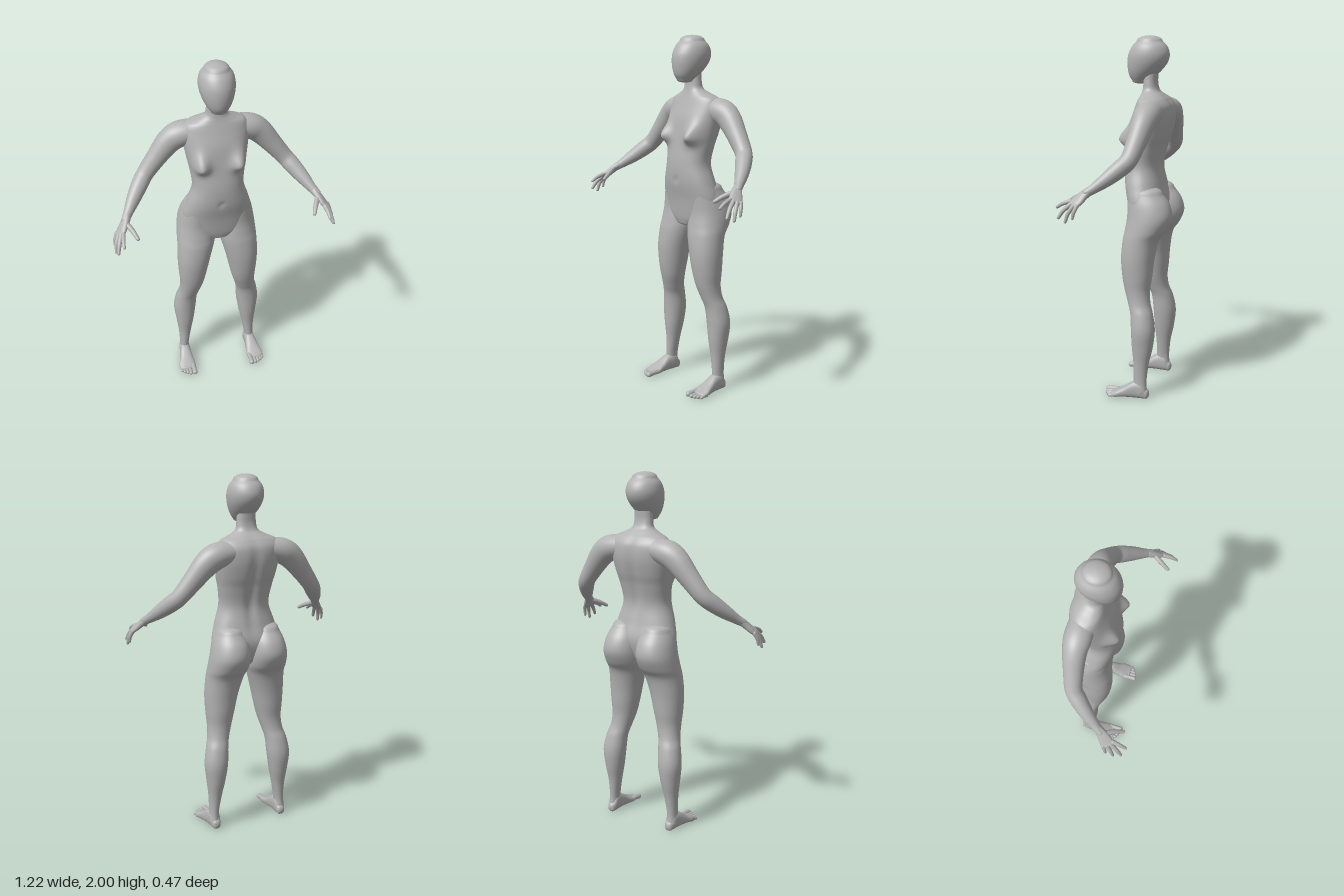
import * as THREE from 'three';

const V = (x, y, z) => new THREE.Vector3(x, y, z);
const X = V(1, 0, 0), UP = V(0, 1, 0), FRONT = V(0, 0, 1), BACK = V(0, 0, -1);

// Smooth skin through oval sections [x, y, z, sideRadius, depthRadius], rounded at both ends.
function sweep(sections, { ref = FRONT, axis = null, sides = 32, steps = 6, square = 2, caps = [0.01, 0.01], shape = null } = {}) {
  const path = new THREE.CatmullRomCurve3(sections.map(s => V(s[0], s[1], s[2])), false, 'catmullrom');
  const radii = new THREE.CatmullRomCurve3(sections.map(s => V(s[3], s[4], 0)), false, 'catmullrom');
  const positions = [], index = [], capSteps = 6, count = (sections.length - 1) * steps;
  let rings = 0;
  const addRing = (t, shift, shrink) => {
    const tangent = axis || path.getTangent(t);
    const c = path.getPoint(t).addScaledVector(tangent, shift);
    const r = radii.getPoint(t).multiplyScalar(shrink);
    const side = ref.clone().cross(tangent).normalize();
    const depth = tangent.clone().cross(side);
    const bend = v => Math.sign(v) * Math.abs(v) ** (2 / square);
    for (let j = 0; j < sides; j++) {
      const a = (j / sides) * Math.PI * 2;
      const p = c.clone().addScaledVector(side, r.x * bend(Math.cos(a))).addScaledVector(depth, r.y * bend(Math.sin(a)));
      if (shape) shape(p);
      positions.push(p.x, p.y, p.z);
    }
    rings++;
  };
  const addCap = (t, length, k) => {
    const a = (k / capSteps) * Math.PI / 2;
    addRing(t, length * Math.sin(a), Math.max(Math.cos(a), 0.01));
  };
  for (let k = capSteps; k > 0; k--) addCap(0, -caps[0], k);
  for (let i = 0; i <= count; i++) addRing(i / count, 0, 1);
  for (let k = 1; k <= capSteps; k++) addCap(1, caps[1], k);
  for (let i = 0; i < rings - 1; i++) {
    for (let j = 0; j < sides; j++) {
      const a = i * sides + j, b = i * sides + (j + 1) % sides;
      index.push(a, b, b + sides, a, b + sides, a + sides);
    }
  }
  const last = (rings - 1) * sides;
  for (let j = 1; j < sides - 1; j++) index.push(0, j + 1, j, last, last + j, last + j + 1);
  const geometry = new THREE.BufferGeometry();
  geometry.setAttribute('position', new THREE.Float32BufferAttribute(positions, 3));
  geometry.setIndex(index);
  geometry.computeVertexNormals();
  return geometry;
}

// Mirror a geometry across x = 0, keeping its faces outward.
function mirrored(geometry) {
  const copy = geometry.clone().scale(-1, 1, 1);
  copy.setIndex(Array.from(geometry.index.array).reverse());
  copy.computeVertexNormals();
  return copy;
}

// Level section from its extents: height, inner x, outer x, front z, back z.
const level = ([y, x0, x1, front, back]) => [(x0 + x1) / 2, y, (front + back) / 2, (x1 - x0) / 2, (front - back) / 2];
const centred = ([y, half, front, back]) => level([y, -half, half, front, back]);

// Breasts, spine furrow and navel pressed into the torso surface.
function shapeTorso(p) {
  const bell = (v, s) => Math.exp(-((v / s) ** 2));
  const frontness = THREE.MathUtils.smoothstep(p.z, -0.05, 0.01);
  const rise = p.y - 1.45;
  const bust = 0.056 * bell(Math.abs(p.x) - 0.11, 0.045) * bell(rise, rise > 0 ? 0.065 : 0.04);
  const navel = 0.008 * bell(p.x, 0.014) * bell(p.y - 1.21, 0.018);
  const backness = THREE.MathUtils.smoothstep(-p.z, 0.09, 0.13);
  const furrow = 0.016 * bell(p.x, 0.028) * bell(p.y - 1.4, 0.22);
  p.z += frontness * (bust - navel) + backness * furrow;
}

export function createModel() {
  const model = new THREE.Group();
  model.name = 'humanFigure';
  const skin = new THREE.MeshStandardMaterial({ color: 0xb3b3b3 });
  skin.name = 'plainGrey';

  const add = (name, geometry, parent = model) => {
    const mesh = new THREE.Mesh(geometry, skin);
    mesh.name = name;
    parent.add(mesh);
  };

  // Head: smooth egg with a narrow chin
  add('head', sweep([
    [1.757, 0.043, 0.028, -0.06], [1.785, 0.063, 0.045, -0.1], [1.82, 0.081, 0.053, -0.138],
    [1.86, 0.093, 0.055, -0.168], [1.9, 0.096, 0.049, -0.178], [1.94, 0.087, 0.03, -0.166],
    [1.97, 0.066, 0.003, -0.139],
  ].map(centred), { ref: BACK, axis: UP, sides: 48, caps: [0.014, 0.03] }));

  // Torso with neck
  add('torso', sweep([
    [0.96, 0.09, 0.008, -0.11], [1.0, 0.17, 0.018, -0.15], [1.1, 0.198, 0.032, -0.178],
    [1.2, 0.173, 0.052, -0.157], [1.3, 0.143, 0.055, -0.142], [1.4, 0.153, 0.042, -0.162],
    [1.47, 0.166, 0.032, -0.185], [1.55, 0.178, 0.018, -0.202], [1.62, 0.18, -0.006, -0.2],
    [1.66, 0.16, -0.02, -0.178], [1.685, 0.105, -0.028, -0.152], [1.71, 0.063, -0.034, -0.125],
    [1.75, 0.054, -0.038, -0.113], [1.81, 0.05, -0.035, -0.115],
  ].map(centred), { ref: BACK, axis: UP, sides: 80, steps: 8, square: 2.25, caps: [0.02, 0.01], shape: shapeTorso }));

  // Limbs are built for the left side and mirrored
  const limbs = [];

  limbs.push(['Leg', sweep([
    [0.04, 0.181, 0.242, -0.055, -0.13], [0.1, 0.182, 0.236, -0.052, -0.126], [0.2, 0.165, 0.24, -0.05, -0.136],
    [0.3, 0.145, 0.252, -0.04, -0.157], [0.4, 0.13, 0.262, -0.035, -0.167], [0.49, 0.123, 0.248, -0.027, -0.152],
    [0.55, 0.109, 0.231, -0.008, -0.132], [0.62, 0.088, 0.226, 0.015, -0.126], [0.7, 0.069, 0.232, 0.031, -0.135],
    [0.8, 0.047, 0.236, 0.04, -0.145], [0.9, 0.02, 0.232, 0.035, -0.166], [0.96, 0.004, 0.229, 0.025, -0.207],
    [1.03, 0.003, 0.221, 0.015, -0.235], [1.1, 0.01, 0.206, 0.016, -0.22], [1.16, 0.03, 0.184, 0.02, -0.178],
  ].map(level), { ref: BACK, axis: UP, sides: 48, square: 2.1, caps: [0.01, 0.04] })]);

  limbs.push(['Arm', sweep([
    [0.1, 1.605, -0.115, 0.06, 0.07], [0.19, 1.588, -0.12, 0.07, 0.072], [0.25, 1.55, -0.12, 0.068, 0.063],
    [0.32, 1.47, -0.11, 0.056, 0.053], [0.39, 1.385, -0.093, 0.047, 0.046], [0.43, 1.34, -0.055, 0.046, 0.044],
    [0.475, 1.29, 0, 0.038, 0.036], [0.51, 1.25, 0.05, 0.027, 0.026], [0.535, 1.225, 0.085, 0.022, 0.02],
  ], { caps: [0.03, 0.015] })]);

  // Palm, thumb and fingers
  const palmNormal = V(-0.68, -0.71, -0.18).normalize();
  limbs.push(['Palm', sweep([
    [0.52, 1.24, 0.068, 0.022, 0.02], [0.54, 1.215, 0.097, 0.029, 0.018],
    [0.56, 1.19, 0.12, 0.035, 0.015], [0.575, 1.172, 0.138, 0.034, 0.012],
  ], { ref: palmNormal, sides: 24, square: 2.4, caps: [0.01, 0.01] })]);

  const digits = {
    Thumb: [[0.532, 1.217, 0.105], [0.505, 1.195, 0.155], [0.487, 1.172, 0.196], 0.013],
    IndexFinger: [[0.557, 1.187, 0.158], [0.563, 1.172, 0.2], [0.565, 1.153, 0.23], 0.0105],
    MiddleFinger: [[0.568, 1.179, 0.145], [0.585, 1.143, 0.186], [0.595, 1.105, 0.211], 0.011],
    RingFinger: [[0.58, 1.173, 0.13], [0.597, 1.13, 0.157], [0.603, 1.088, 0.17], 0.0105],
    LittleFinger: [[0.588, 1.17, 0.112], [0.601, 1.138, 0.124], [0.604, 1.108, 0.13], 0.0095],
  };
  for (const [name, [base, middle, tip, r]] of Object.entries(digits)) {
    limbs.push([name, sweep([[...base, r * 1.15, r * 1.15], [...middle, r, r], [...tip, r * 0.75, r * 0.75]],
      { ref: palmNormal, sides: 14, caps: [r, r * 0.8] })]);
  }

  // Foot, from heel to ball: z, centre x, half width, top height
  limbs.push(['Foot', sweep([
    [-0.125, 0.208, 0.024, 0.055], [-0.1, 0.209, 0.031, 0.1], [-0.05, 0.212, 0.034, 0.094],
    [0, 0.215, 0.042, 0.062], [0.035, 0.218, 0.05, 0.043], [0.062, 0.219, 0.047, 0.03],
  ].map(([z, x, half, top]) => [x, top / 2, z, half, top / 2]),
  { ref: UP, axis: FRONT, square: 2.5, caps: [0.016, 0.016] })]);

  // Toes: x, tip z, radius
  [[0.183, 0.111, 0.0155], [0.207, 0.109, 0.011], [0.226, 0.101, 0.0105], [0.243, 0.091, 0.01], [0.258, 0.077, 0.0095]]
    .forEach(([x, z, r], i) => limbs.push(['Toe' + (i + 1), sweep([
      [x, r + 0.004, 0.04, r, r], [x, r + 0.003, (z + 0.045) / 2, r * 0.9, r * 0.9], [x, r, z, r, r],
    ], { ref: UP, sides: 14, caps: [r, r * 0.9] })]));

  for (const side of ['left', 'right']) {
    const group = new THREE.Group();
    group.name = side + 'Limbs';
    model.add(group);
    for (const [name, geometry] of limbs) add(side + name, side === 'left' ? geometry : mirrored(geometry), group);
  }
  return model;
}
